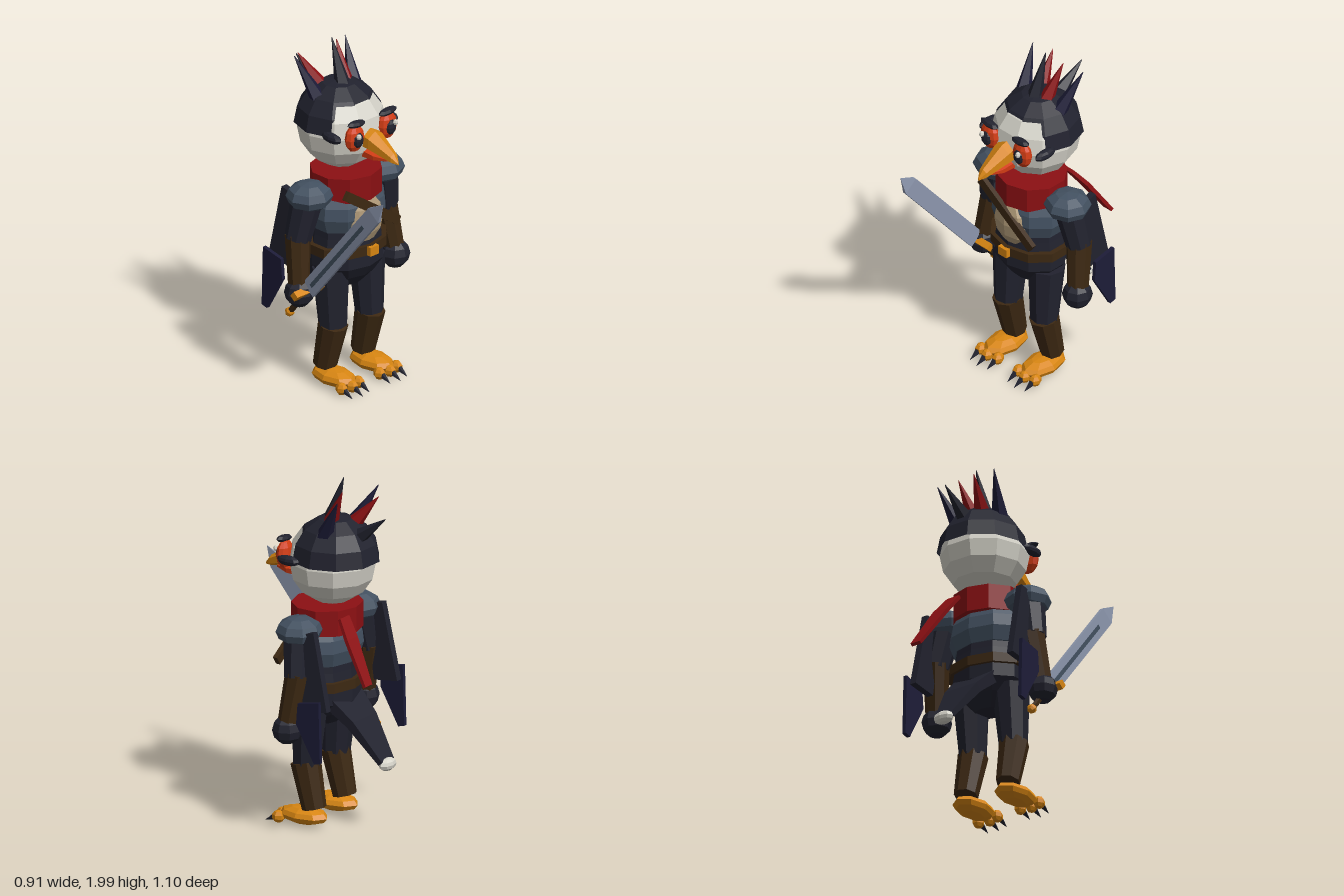
import * as THREE from 'three';

const mat = (name, color) => new THREE.MeshStandardMaterial({ name, color, flatShading: true, side: THREE.DoubleSide });
const M = {
  dark: mat('dark plumage', 0x21222e),
  indigo: mat('indigo feather', 0x1d1c38),
  white: mat('white plumage', 0xd6d4ca),
  orange: mat('orange', 0xd88612),
  eye: mat('red orange', 0xd23c14),
  red: mat('crimson', 0x8c1013),
  slate: mat('slate armour', 0x435161),
  tan: mat('tan belly', 0xb09a78),
  brown: mat('brown leather', 0x3c2812),
  steel: mat('steel', 0x8d97ae),
};
const V = (a) => new THREE.Vector3(...a);

export function createModel() {
  const root = new THREE.Group();
  root.name = 'birdSwordsman';

  const add = (name, geo, material, pos = [0, 0, 0], parent = root) => {
    const m = new THREE.Mesh(geo, material);
    m.name = name;
    m.position.set(...pos);
    parent.add(m);
    return m;
  };
  const ball = (name, material, pos, r, ws = 8, hs = 6, parent = root) =>
    add(name, new THREE.SphereGeometry(1, ws, hs).scale(...r), material, pos, parent);
  const box = (name, material, pos, size, parent = root) =>
    add(name, new THREE.BoxGeometry(...size), material, pos, parent);
  // Tapered rod from a (radius ra) to b (radius rb)
  const rod = (name, material, a, b, ra, rb, sides = 8) => {
    const A = V(a), B = V(b), d = B.clone().sub(A);
    const m = add(name, new THREE.CylinderGeometry(rb, ra, d.length(), sides), material,
      A.clone().add(B).multiplyScalar(0.5).toArray());
    m.quaternion.setFromUnitVectors(new THREE.Vector3(0, 1, 0), d.normalize());
    return m;
  };
  const lathe = (name, material, pts, depth, z) =>
    add(name, new THREE.LatheGeometry(pts.map((p) => new THREE.Vector2(...p)), 10).scale(1, 1, depth),
      material, [0, 0, z]);
  // Skin over cross-sections [x, y, z, halfWidth, halfThickness]; thickness runs along v
  const loft = (name, material, secs, v, n = 4, phase = Math.PI / 4) => {
    const X = new THREE.Vector3(1, 0, 0), T = V(v).normalize();
    const axis = V(secs.at(-1).slice(0, 3)).sub(V(secs[0].slice(0, 3)));
    if (X.clone().cross(T).dot(axis) < 0) T.negate();
    const pos = [], idx = [];
    for (const [x, y, z, w, t] of secs) {
      for (let j = 0; j < n; j++) {
        const a = phase + (j / n) * Math.PI * 2;
        pos.push(...V([x, y, z]).addScaledVector(X, Math.cos(a) * w).addScaledVector(T, Math.sin(a) * t).toArray());
      }
    }
    const last = (secs.length - 1) * n;
    for (let i = 0; i < last; i += n) {
      for (let j = 0; j < n; j++) {
        const k = (j + 1) % n;
        idx.push(i + j, i + k, i + n + k, i + j, i + n + k, i + n + j);
      }
    }
    for (let j = 1; j < n - 1; j++) idx.push(0, j + 1, j, last, last + j, last + j + 1);
    const g = new THREE.BufferGeometry();
    g.setAttribute('position', new THREE.Float32BufferAttribute(pos, 3));
    g.setIndex(idx);
    g.computeVertexNormals();
    return add(name, g, material);
  };
  // Flat plate drawn in (z, y), centred on x
  const plate = (name, material, x, thick, pts) => {
    const g = new THREE.ExtrudeGeometry(new THREE.Shape(pts.map((p) => new THREE.Vector2(...p))),
      { depth: thick, bevelEnabled: false });
    return add(name, g.rotateY(-Math.PI / 2), material, [x + thick / 2, 0, 0]);
  };

  // Head with dark cap
  ball('head', M.white, [0, 1.51, -0.145], [0.247, 0.243, 0.247], 10, 8);
  add('headCap', new THREE.SphereGeometry(0.251, 10, 4, 0, Math.PI * 2, 0, Math.PI / 2), M.dark, [0, 1.525, -0.165]);

  // Crest spikes: base, tip, colour
  const spikes = [
    [[0, 1.7, -0.12], [0, 2.0, -0.22], M.dark],
    [[0, 1.65, -0.29], [0, 1.81, -0.5], M.dark],
    [[0.05, 1.7, -0.15], [0.085, 1.945, -0.27], M.red],
    [[-0.05, 1.69, -0.22], [-0.105, 1.89, -0.38], M.red],
    [[-0.13, 1.66, -0.17], [-0.195, 1.92, -0.315], M.indigo],
    [[0.13, 1.66, -0.17], [0.195, 1.92, -0.315], M.indigo],
  ];
  for (const [a, b, m] of spikes) rod('crestSpike', m, a, b, 0.055, 0.002, 5);

  // Beak
  loft('upperBeak', M.orange, [
    [0, 1.495, 0.06, 0.07, 0.065], [0, 1.485, 0.12, 0.065, 0.06],
    [0, 1.428, 0.265, 0.03, 0.03], [0, 1.405, 0.3, 0.004, 0.006]], [0, 1, 0], 6, Math.PI / 2);
  loft('lowerBeak', M.eye, [
    [0, 1.405, 0.06, 0.05, 0.035], [0, 1.4, 0.14, 0.042, 0.024],
    [0, 1.405, 0.22, 0.012, 0.01]], [0, 1, 0], 6, Math.PI / 2);

  // Torso, armour, belt
  lathe('body', M.dark, [[0, 0.575], [0.09, 0.58], [0.17, 0.65], [0.225, 0.72], [0.225, 0.8],
    [0.21, 0.9], [0.2, 1.0], [0.18, 1.18], [0, 1.2]], 0.8, -0.1);
  lathe('chestArmour', M.slate, [[0.19, 0.93], [0.215, 0.94], [0.245, 1.02], [0.235, 1.09],
    [0.19, 1.17], [0, 1.18]], 0.78, -0.1);
  ball('bellyPatch', M.tan, [0, 1.0, 0.04], [0.13, 0.145, 0.065], 8, 6);
  add('belt', new THREE.CylinderGeometry(0.248, 0.248, 0.055, 10).scale(1, 1, 0.8), M.brown, [0, 0.823, -0.1]);
  box('buckle', M.orange, [0, 0.823, 0.102], [0.065, 0.052, 0.03]);
  box('chestStrap', M.brown, [0.005, 1.07, 0.087], [0.48, 0.055, 0.028]).rotation.z = -0.6;

  // Scarf
  add('scarf', new THREE.CylinderGeometry(0.207, 0.207, 0.145, 10).scale(1, 1, 0.94), M.red, [0, 1.193, -0.11]);
  loft('scarfTail', M.red, [
    [0.1, 1.23, -0.29, 0.06, 0.014], [0.135, 1.13, -0.365, 0.068, 0.016],
    [0.19, 0.9, -0.515, 0.045, 0.014]], [0, 0.56, -0.83]);

  // Tail
  loft('tail', M.dark, [
    [0, 0.74, -0.2, 0.2, 0.05], [0, 0.62, -0.34, 0.155, 0.04],
    [0, 0.41, -0.505, 0.08, 0.022]], [0, 0.65, -0.76]);
  ball('tailTip', M.white, [0, 0.4, -0.513], [0.065, 0.037, 0.04], 8, 6);

  for (const s of [-1, 1]) {
    // Face
    ball('eyeRing', M.eye, [s * 0.125, 1.535, 0.085], [0.065, 0.082, 0.04], 10, 6);
    ball('pupil', M.dark, [s * 0.125, 1.53, 0.113], [0.036, 0.046, 0.024], 8, 6);
    ball('eyeGlint', M.white, [s * 0.14, 1.56, 0.135], [0.016, 0.018, 0.016], 6, 4);
    ball('brow', M.dark, [s * 0.12, 1.62, 0.095], [0.067, 0.02, 0.028], 8, 4).rotation.z = s * 0.08;
    ball('cheekFeather', M.dark, [s * 0.217, 1.535, 0], [0.03, 0.029, 0.075], 8, 6);

    // Arms
    ball('shoulderGuard', M.slate, [s * 0.275, 1.17, -0.115], [0.133, 0.083, 0.13], 8, 6);
    rod('upperArm', M.dark, [s * 0.285, 1.16, -0.12], [s * 0.335, 0.92, -0.145], 0.09, 0.075);
    rod('forearm', M.brown, [s * 0.33, 0.945, -0.15], [s * 0.365, 0.65, -0.105], 0.074, 0.06);
    ball('hand', M.dark, [s * 0.366, 0.622, -0.1], [0.085, 0.085, 0.085], 8, 6);
    plate('wingFeather', M.dark, s * 0.35, 0.04,
      [[-0.14, 1.17], [-0.26, 1.2], [-0.355, 0.76], [-0.2, 0.74]]).rotation.z = s * 0.02;
    plate('wingTipFeather', M.indigo, s * 0.4, 0.022,
      [[-0.2, 0.8], [-0.34, 0.83], [-0.35, 0.48], [-0.31, 0.47], [-0.19, 0.68]]);

    // Legs
    rod('thigh', M.dark, [s * 0.138, 0.7, -0.09], [s * 0.14, 0.36, -0.07], 0.105, 0.08);
    rod('shin', M.brown, [s * 0.142, 0.37, -0.065], [s * 0.145, 0.11, -0.125], 0.085, 0.068);
    ball('foot', M.orange, [s * 0.145, 0.06, -0.055], [0.09, 0.05, 0.155], 8, 6);
    for (const t of [-1, 0, 1]) {
      const x = s * 0.145 + t * 0.065;
      const z = t ? 0.07 : 0.085;
      ball('toe', M.orange, [x, 0.042, z], [0.033, 0.036, 0.038], 6, 5);
      rod('claw', M.dark, [x, 0.038, z + 0.02], [x, 0.008, z + 0.085], 0.02, 0.001, 5);
    }
  }

  // Sword, built along +y then tilted forward
  const sword = new THREE.Group();
  sword.name = 'sword';
  sword.position.set(-0.357, 0.642, -0.045);
  sword.rotation.x = 0.69;
  root.add(sword);
  box('guard', M.orange, [0, 0, 0], [0.21, 0.04, 0.04], sword);
  add('grip', new THREE.CylinderGeometry(0.018, 0.018, 0.2, 6), M.brown, [0, -0.1, 0], sword);
  ball('pommel', M.orange, [0, -0.22, 0], [0.028, 0.028, 0.028], 6, 5, sword);
  box('blade', M.steel, [0, 0.42, 0], [0.022, 0.8, 0.1], sword);
  add('bladePoint', new THREE.CylinderGeometry(0.001, Math.SQRT1_2, 0.11, 4).rotateY(Math.PI / 4).scale(0.022, 1, 0.1),
    M.steel, [0, 0.875, 0], sword);
  box('fuller', M.slate, [-0.012, 0.38, 0], [0.006, 0.64, 0.022], sword);

  return root;
}
